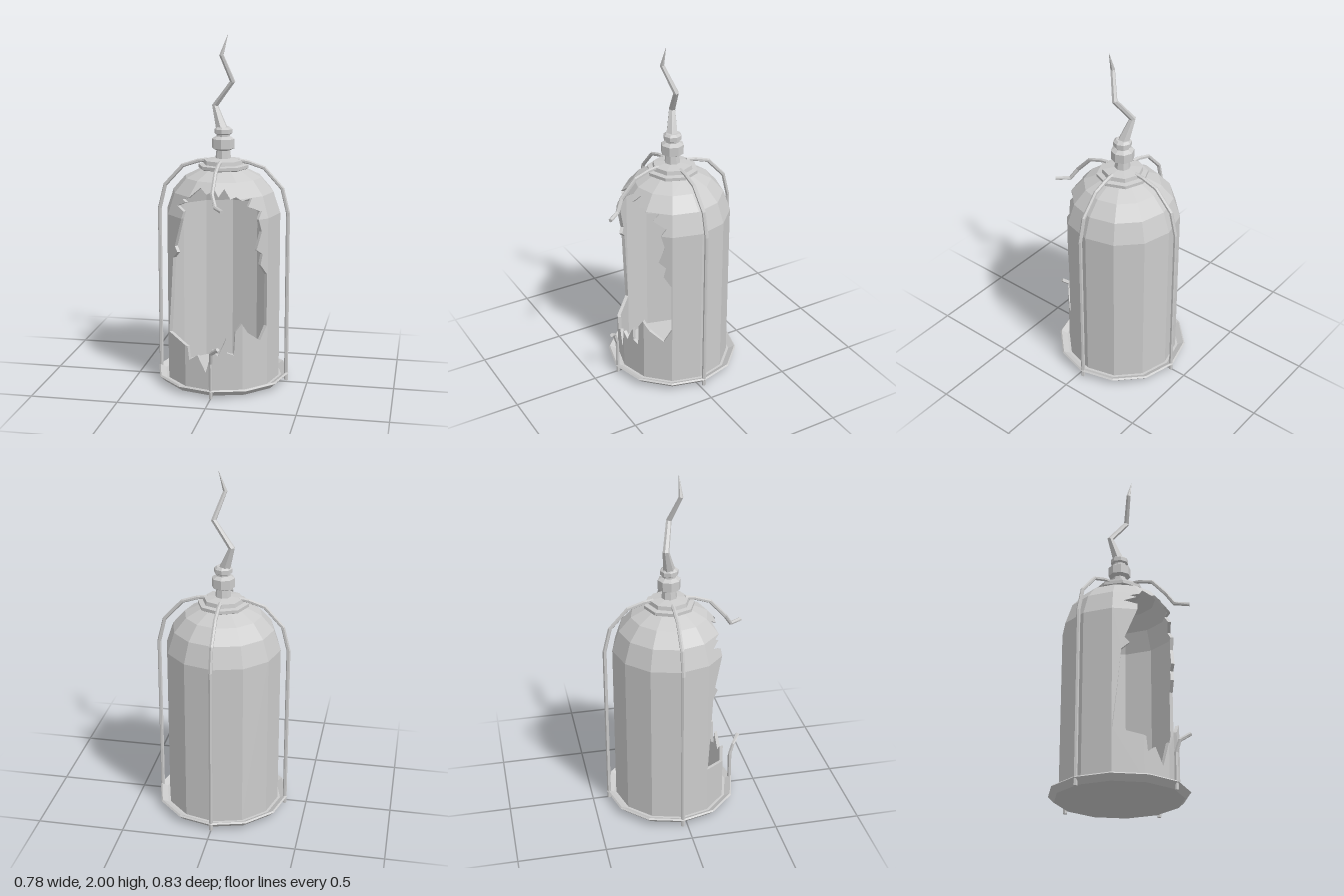
import * as THREE from 'three';

const mat = new THREE.MeshStandardMaterial({ color: 0xcccccc, flatShading: true, side: THREE.DoubleSide });
const V = (x, y, z) => new THREE.Vector3(x, y, z);

function add(parent, name, geometry) {
  const mesh = new THREE.Mesh(geometry, mat);
  mesh.name = name;
  parent.add(mesh);
  return mesh;
}

function fromTriangles(points) {
  const g = new THREE.BufferGeometry().setFromPoints(points);
  g.computeVertexNormals();
  return g;
}

// Turned part from [radius, y] pairs
const turned = (profile, sides) =>
  new THREE.LatheGeometry(profile.map(([r, y]) => new THREE.Vector2(r, y)), sides).toNonIndexed();

// Faceted bar along bent path; one radius per point
function bar(path, radii, sides) {
  const rings = path.map((p, i) => {
    const t = V(0, 0, 0);
    if (i > 0) t.add(p.clone().sub(path[i - 1]).normalize());
    if (i < path.length - 1) t.add(path[i + 1].clone().sub(p).normalize());
    t.normalize();
    const u = t.clone().cross(V(1, 0, 0)).normalize();
    const w = t.clone().cross(u);
    return Array.from({ length: sides }, (_, k) => {
      const a = (k / sides) * Math.PI * 2;
      return p.clone().addScaledVector(u, radii[i] * Math.cos(a)).addScaledVector(w, radii[i] * Math.sin(a));
    });
  });
  const out = [], last = path.length - 1;
  for (let k = 0; k < sides; k++) {
    const n = (k + 1) % sides;
    for (let i = 0; i < last; i++) {
      const a = rings[i][k], b = rings[i][n], c = rings[i + 1][n], d = rings[i + 1][k];
      out.push(a, b, c, a, c, d);
    }
    out.push(path[0], rings[0][n], rings[0][k], path[last], rings[last][k], rings[last][n]);
  }
  return fromTriangles(out);
}

// Signed distance-like side test of p against the edge a-b
const side = (a, b, p) => (b.x - a.x) * (p.y - a.y) - (b.y - a.y) * (p.x - a.x);

// Clip polygon to a convex counter-clockwise quad, in the xy plane
function clip(poly, quad) {
  quad.forEach((a, i) => {
    const b = quad[(i + 1) % quad.length], out = [];
    poly.forEach((p, j) => {
      const q = poly[(j + 1) % poly.length], sp = side(a, b, p), sq = side(a, b, q);
      if (sp >= 0) out.push(p);
      if ((sp > 0 && sq < 0) || (sp < 0 && sq > 0)) out.push(p.clone().lerp(q, sp / (sp - sq)));
    });
    poly = out;
  });
  return poly;
}

// Jagged edges of the broken opening, left to right
const upperEdge = [[-0.285, 0.31], [-0.265, 0.55], [-0.25, 0.76], [-0.217, 0.8], [-0.237, 0.83], [-0.175, 1.04],
  [-0.225, 1.06], [-0.165, 1.09], [-0.19, 1.1], [-0.15, 1.115], [-0.085, 1.17], [-0.045, 1.14], [0, 1.165],
  [0.025, 1.13], [0.05, 1.17], [0.09, 1.12], [0.12, 1.13], [0.155, 1.11], [0.2, 1.12], [0.185, 1.075], [0.25, 1.04],
  [0.24, 1], [0.255, 0.93], [0.23, 0.83], [0.26, 0.8], [0.25, 0.74], [0.282, 0.68], [0.282, 0.38]];
const lowerEdge = [[-0.285, 0.31], [-0.15, 0.27], [-0.14, 0.19], [-0.09, 0.225], [-0.04, 0.13], [0, 0.27],
  [0.03, 0.23], [0.075, 0.33], [0.08, 0.25], [0.118, 0.235], [0.125, 0.37], [0.16, 0.42], [0.19, 0.36], [0.25, 0.3],
  [0.282, 0.38]];

// Thick twelve-sided shell with the opening cut in its front facets
function shell() {
  const sides = 12, inner = 0.94, out = [];
  const profile = [[0.33, 0.03], [0.33, 1], [0.29, 1.12], [0.22, 1.2], [0.12, 1.25]];
  const to2 = (list) => list.map(([x, y]) => new THREE.Vector2(x, y));
  const solids = [
    to2([...upperEdge, [0.4, 0.38], [0.4, 1.5], [-0.4, 1.5], [-0.4, 0.31]]),
    to2([...lowerEdge, [0.4, 0.38], [0.4, -0.1], [-0.4, -0.1], [-0.4, 0.31]]),
  ];
  const inward = (p) => V(p.x * inner, p.y, p.z * inner);
  const pushTri = (a, b, c) => out.push(a, b, c, inward(a), inward(c), inward(b));

  for (let t = 0; t < profile.length - 1; t++) {
    for (let k = 0; k < sides; k++) {
      const corner = ([r, y], j) => {
        const a = (j / sides) * Math.PI * 2;
        return V(r * Math.sin(a), y, r * Math.cos(a));
      };
      const c = [corner(profile[t], k), corner(profile[t], k + 1), corner(profile[t + 1], k + 1), corner(profile[t + 1], k)];
      if (k > 1 && k < sides - 2) {
        pushTri(c[0], c[1], c[2]);
        pushTri(c[0], c[2], c[3]);
        continue;
      }
      const plane = new THREE.Plane().setFromCoplanarPoints(c[0], c[1], c[2]), n = plane.normal;
      const lift = (p) => V(p.x, p.y, -(plane.constant + n.x * p.x + n.y * p.y) / n.z);
      const quad = c.map((p) => new THREE.Vector2(p.x, p.y));
      for (const solid of solids) {
        const poly = clip(solid, quad);
        if (poly.length < 3) continue;
        if (THREE.ShapeUtils.isClockWise(poly)) poly.reverse();
        for (const [i, j, m] of THREE.ShapeUtils.triangulateShape(poly, [])) {
          const tri = [poly[i], poly[j], poly[m]];
          if (side(...tri) < 0) tri.reverse();
          pushTri(...tri.map(lift));
        }
        // broken rim joins the outer and inner walls
        poly.forEach((p, i) => {
          const q = poly[(i + 1) % poly.length];
          const onSeam = quad.some((a, e) => {
            const b = quad[(e + 1) % 4];
            return Math.abs(side(a, b, p)) < 1e-6 && Math.abs(side(a, b, q)) < 1e-6;
          });
          if (onSeam) return;
          const a = lift(p), b = lift(q);
          out.push(a, inward(a), inward(b), a, inward(b), b);
        });
      }
    }
  }
  return fromTriangles(out);
}

export function createModel() {
  const model = new THREE.Group();
  model.name = 'brokenJar';
  const body = new THREE.Group();
  body.name = 'body';
  body.position.z = -0.028;
  model.add(body);

  add(body, 'jarShell', shell());

  // Shallow dish with a raised rim
  add(body, 'basePlate', turned([[0, 0.008], [0.355, 0.01], [0.388, 0.042], [0.38, 0.05], [0.345, 0.03], [0, 0.03]], 12));

  // Stepped cap, neck and two nuts
  add(body, 'cap', turned([[0, 1.24], [0.125, 1.24], [0.145, 1.25], [0.145, 1.268], [0.116, 1.272], [0.112, 1.295],
    [0.045, 1.305], [0.04, 1.35], [0.065, 1.362], [0.065, 1.415], [0.04, 1.43], [0.04, 1.44], [0.052, 1.447],
    [0.052, 1.47], [0.038, 1.482], [0, 1.482]], 8));

  // Crooked spike
  add(body, 'spike', bar([V(-0.005, 1.46, 0), V(-0.052, 1.6, -0.028), V(0.055, 1.74, 0.01), V(0.002, 1.89, 0.066),
    V(0.037, 2, 0.062)], [0.036, 0.019, 0.016, 0.013, 0.001], 6));

  // Three whole cage rods
  const arch = [V(0, 1.293, 0.09), V(0, 1.285, 0.145), V(0, 1.255, 0.235), V(0, 1.14, 0.34)];
  const rod = (path) => bar(path, path.map(() => 0.0115), 6);
  ['leftRod', 'backRod', 'rightRod'].forEach((name, i) => {
    const mesh = add(body, name, rod([...arch, V(0, 1, 0.374), V(0, 0, 0.374)]));
    mesh.rotation.y = ((i + 1) * Math.PI) / 2;
  });

  // Front rod, snapped and bent outward
  add(body, 'frontRodTop', rod([...arch.slice(0, 3), V(0, 1.155, 0.325), V(0.025, 1.09, 0.365), V(0.075, 1.083, 0.435)]));
  add(body, 'frontRodBottom', rod([V(0, 0, 0.374), V(0, 0.205, 0.374), V(0.006, 0.27, 0.395), V(0.052, 0.31, 0.435)]));

  return model;
}
